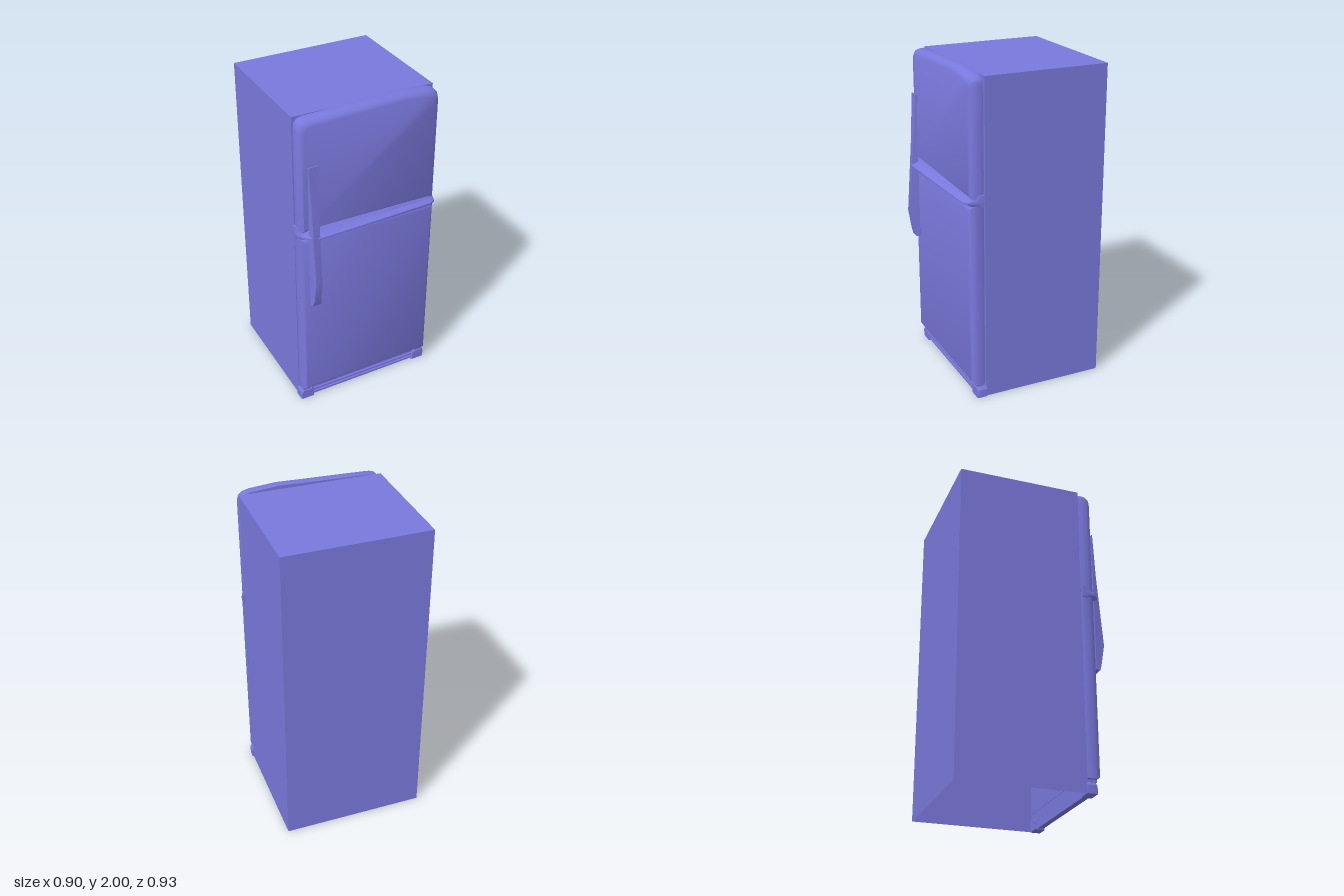
import * as THREE from 'three';
import { toCreasedNormals } from 'three/addons/utils/BufferGeometryUtils.js';

const enamel = new THREE.MeshStandardMaterial({ color: 0x7a78dc, side: THREE.DoubleSide });
enamel.name = 'periwinkle enamel';

// Skin a series of matching convex rings of [x, y, z] points and cap both ends
function loft(rings, crease = 0.6) {
  const n = rings[0].length, last = (rings.length - 1) * n, index = [];
  for (let r = 0; r < rings.length - 1; r++) {
    for (let i = 0; i < n; i++) {
      const a = r * n + i, b = r * n + (i + 1) % n;
      index.push(a, b, b + n, a, b + n, a + n);
    }
  }
  for (let i = 1; i < n - 1; i++) index.push(0, i + 1, i, last, last + i, last + i + 1);
  const g = new THREE.BufferGeometry();
  g.setAttribute('position', new THREE.Float32BufferAttribute(rings.flat(2), 3));
  g.setIndex(index);
  return toCreasedNormals(g, crease);
}

// Door outline pulled in from each edge, repeated through the door's depth
function doorGeometry(outline, cx, cy, halfW, halfH) {
  const steps = [[0.318, 0.004], [0.335, 0], [0.365, 0.002], [0.385, 0.010], [0.396, 0.022], [0.402, 0.036]];
  return loft(steps.map(([z, inset]) => outline.map(([x, y]) => [
    cx + (x - cx) * (1 - inset / halfW), cy + (y - cy) * (1 - inset / halfH), z])));
}

export function createModel() {
  const model = new THREE.Group();
  model.name = 'refrigerator';
  const add = (name, geometry, x = 0, y = 0, z = 0) => {
    const mesh = new THREE.Mesh(geometry, enamel);
    mesh.name = name;
    mesh.position.set(x, y, z);
    model.add(mesh);
    return mesh;
  };
  const box = (name, w, h, d, x, y, z) => add(name, new THREE.BoxGeometry(w, h, d), x, y, z);

  // Cabinet: a shell with no floor
  const shell = new THREE.BoxGeometry(0.884, 1.978, 0.77);
  shell.setIndex([...shell.index.array].filter((_, i) => i < 18 || i >= 24));
  shell.clearGroups();
  add('cabinet', shell, 0, 0.989, -0.075);
  box('upperGasket', 0.85, 0.66, 0.014, 0, 1.62, 0.315);
  box('lowerGasket', 0.85, 1.1, 0.014, 0, 0.66, 0.315);

  // Freezer door with rounded shoulders and a slightly arched top
  const freezer = [[-0.443, 1.268], [0.443, 1.268], [0.443, 1.925], [0.436, 1.955], [0.415, 1.975],
    [0.37, 1.987], [0.2, 2.0], [0, 1.993], [-0.2, 1.987], [-0.395, 1.98], [-0.42, 1.972],
    [-0.437, 1.952], [-0.443, 1.925]];
  add('freezerDoor', doorGeometry(freezer, 0, 1.63, 0.443, 0.366));

  // Main door
  const main = [[-0.446, 0.088], [0.446, 0.088], [0.446, 1.24], [-0.446, 1.24]];
  add('mainDoor', doorGeometry(main, 0, 0.664, 0.446, 0.576));

  // Bowed trim between the doors: a thick root narrowing to a thin lip
  const plan = [[-0.452, 0.318], [-0.45, 0.36], [-0.435, 0.405], [-0.4, 0.436], [-0.35, 0.458],
    [0, 0.448], [0.395, 0.434], [0.43, 0.412], [0.447, 0.365], [0.452, 0.318]];
  const trimRing = (y, reach) => plan.map(([x, z]) => [x, y, 0.318 + (z - 0.318) * reach]);
  add('doorTrim', loft([[1.228, 0.6], [1.238, 0.75], [1.25, 1], [1.262, 1],
    [1.275, 0.75], [1.302, 0.6]].map(([y, reach]) => trimRing(y, reach))));

  // Handle shared by both doors, deepest below the trim
  const handleRing = ([y, front, ridge]) => [[-0.368 + ridge, y, front], [-0.336, y, 0.414],
    [-0.4, y, 0.414], [-0.368 - ridge, y, front]];
  add('handle', loft([[0.782, 0.44, 0.03], [0.82, 0.452, 0.022], [0.95, 0.474, 0.02],
    [1.42, 0.438, 0.022], [1.71, 0.42, 0.031]].map(handleRing)));
  for (const y of [0.81, 1.68]) box('handleMount', 0.04, 0.045, 0.026, -0.368, y, 0.408);

  // Kick plate with slats between two feet
  box('kickPlate', 0.74, 0.074, 0.012, 0, 0.041, 0.324);
  for (const y of [0.014, 0.04, 0.066]) box('kickSlat', 0.74, 0.013, 0.035, 0, y, 0.342);
  const foot = [[-0.045, 0], [0.045, 0], [0.045, 0.05], [0.032, 0.068], [-0.032, 0.068], [-0.045, 0.05]];
  for (const side of [-1, 1]) {
    add('foot', loft([[0.305, 1], [0.355, 1], [0.369, 0.9]].map(([z, s]) =>
      foot.map(([x, y]) => [x * s, y * s, z]))), side * 0.405);
    // Hinge pin blocks
    box('lowerHinge', 0.05, 0.016, 0.05, side * 0.41, 0.078, 0.345);
  }
  return model;
}
